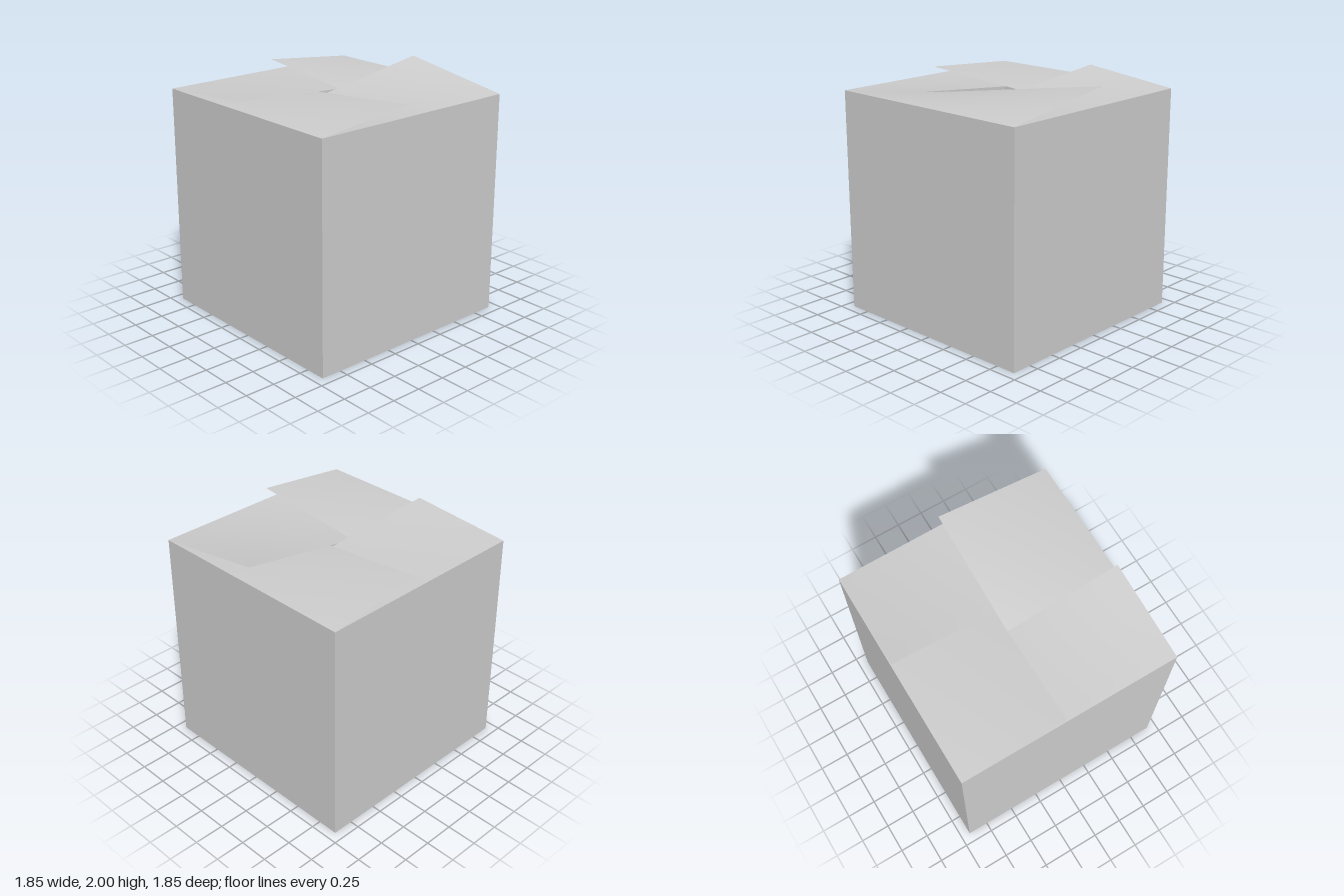
import * as THREE from 'three';

const HALF = 0.923;   // half the width of the box
const HEIGHT = 1.853; // height of the walls

// Twisted flap hinged on the front rim; its free edge runs from low (-x) to high (+x)
function flapGeometry(length, low, high) {
  const geo = new THREE.PlaneGeometry(2 * HALF, 1, 10, 10);
  const pos = geo.attributes.position;
  for (let i = 0; i < pos.count; i++) {
    const x = pos.getX(i);
    const out = pos.getY(i) + 0.5; // 0 at the hinge, 1 at the free edge
    const edge = THREE.MathUtils.lerp(low, high, (x + HALF) / (2 * HALF));
    pos.setXYZ(i, x, THREE.MathUtils.lerp(HEIGHT, edge, out), HALF - length * out);
  }
  geo.computeVertexNormals();
  return geo;
}

export function createModel() {
  const model = new THREE.Group();
  model.name = 'cartonBox';
  const card = new THREE.MeshStandardMaterial({ color: 0xcccccc, side: THREE.DoubleSide });
  card.name = 'light grey card';

  const add = (name, geo, turn = 0) => {
    const mesh = new THREE.Mesh(geo, card);
    mesh.name = name;
    mesh.rotation.y = turn;
    model.add(mesh);
  };

  // Floor of the open box
  add('floor', new THREE.PlaneGeometry(2 * HALF, 2 * HALF).rotateX(Math.PI / 2));

  // Four walls, each with a flap tucked over one neighbour and under the other
  const sides = [
    { name: 'front', length: 0.822, low: 1.77, high: 1.95 },
    { name: 'left', length: 0.964, low: 1.693, high: 2.0 },
    { name: 'back', length: 0.836, low: 1.756, high: 1.943 },
    { name: 'right', length: 0.876, low: 1.796, high: 1.916 },
  ];
  sides.forEach(({ name, length, low, high }, i) => {
    const turn = i * Math.PI / 2;
    add(name + 'Wall', new THREE.PlaneGeometry(2 * HALF, HEIGHT).translate(0, HEIGHT / 2, HALF), turn);
    add(name + 'Flap', flapGeometry(length, low, high), turn);
  });

  return model;
}
